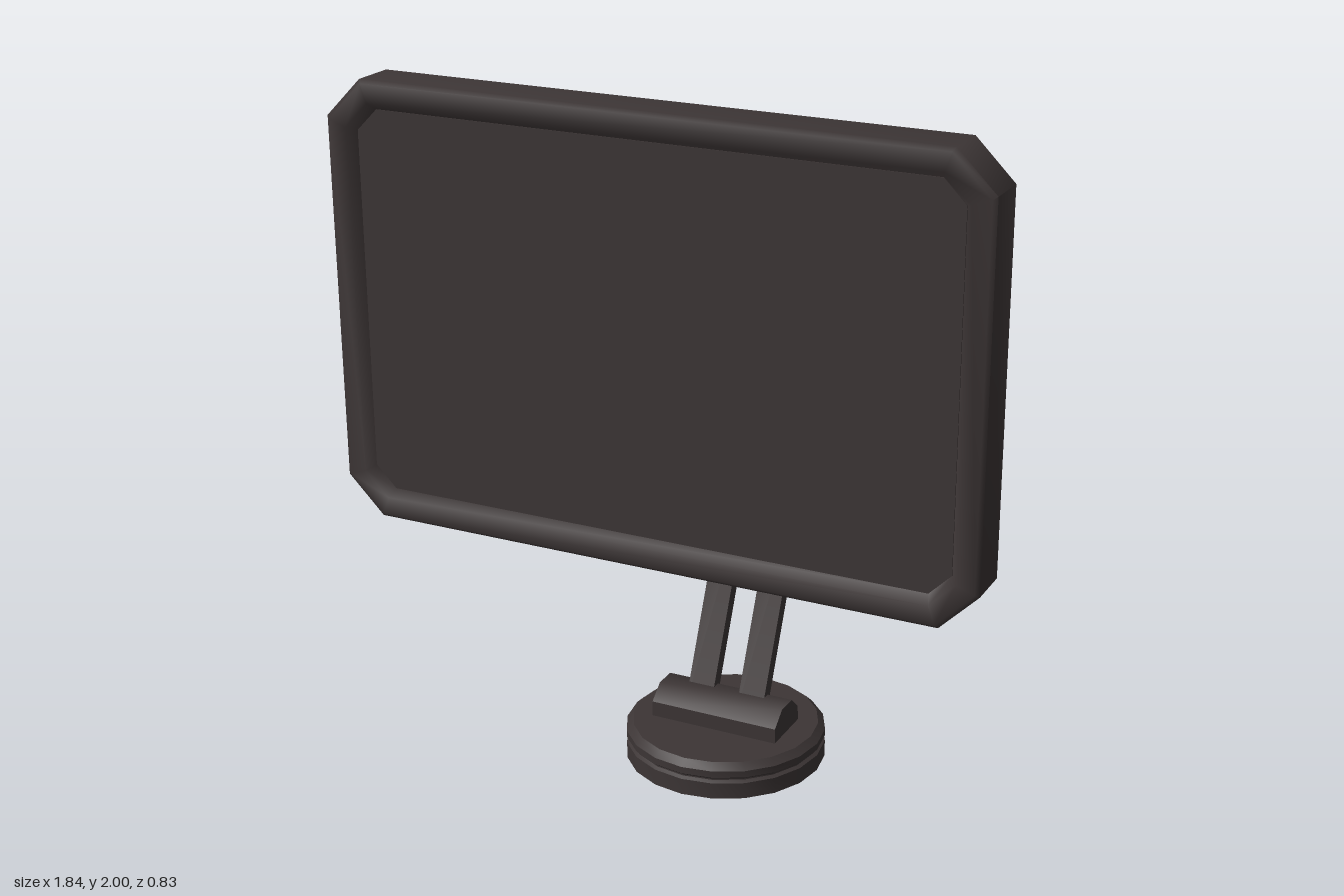
import * as THREE from 'three';
import { toCreasedNormals } from 'three/addons/utils/BufferGeometryUtils.js';

const darkPlastic = new THREE.MeshStandardMaterial({ color: 0x3c3535 });
darkPlastic.name = 'darkPlastic';

// Rectangle with cut corners, counter-clockwise seen from +z
function cutRect(w, y0, y1, c, z) {
  if (!c) return [[-w, y0, z], [w, y0, z], [w, y1, z], [-w, y1, z]];
  return [
    [-w + c, y0, z], [w - c, y0, z], [w, y0 + c, z], [w, y1 - c, z],
    [w - c, y1, z], [-w + c, y1, z], [-w, y1 - c, z], [-w, y0 + c, z],
  ];
}

// Joins loops in order; both ends are capped
function loft(loops, crease) {
  const n = loops[0].length, index = [];
  for (let k = 0; k < loops.length - 1; k++) {
    for (let i = 0; i < n; i++) {
      const a = k * n + i, b = k * n + (i + 1) % n;
      index.push(a, b, b + n, a, b + n, a + n);
    }
  }
  const last = (loops.length - 1) * n;
  for (let i = 1; i < n - 1; i++) {
    index.push(0, i + 1, i, last, last + i, last + i + 1);
  }
  const geo = new THREE.BufferGeometry();
  geo.setAttribute('position', new THREE.Float32BufferAttribute(loops.flat(2), 3));
  geo.setIndex(index);
  return toCreasedNormals(geo, crease);
}

// Side outline of [z, y] points, given a width and centred on x
function sidePart(points, x, width) {
  const shape = new THREE.Shape(points.map(([z, y]) => new THREE.Vector2(z, y)));
  const geo = new THREE.ExtrudeGeometry(shape, { depth: width, bevelEnabled: false });
  geo.translate(0, 0, -width / 2).rotateY(-Math.PI / 2).translate(x, 0, 0);
  return toCreasedNormals(geo, 0.8);
}

export function createModel() {
  const group = new THREE.Group();
  const add = (name, geo) => {
    const mesh = new THREE.Mesh(geo, darkPlastic);
    mesh.name = name;
    group.add(mesh);
  };

  // Display case with a softly sunken screen
  add('displayCase', loft([
    cutRect(0.92, 0.78, 2.0, 0.105, 0.28),
    cutRect(0.92, 0.78, 2.0, 0.105, 0.405),
    cutRect(0.91, 0.79, 1.99, 0.102, 0.415),
    cutRect(0.86, 0.84, 1.94, 0.07, 0.415),
    cutRect(0.84, 0.86, 1.92, 0.06, 0.385),
  ], 1.1));
  add('screen', loft([
    cutRect(0.84, 0.86, 1.92, 0.06, 0.383),
    cutRect(0.84, 0.86, 1.92, 0.06, 0.388),
  ], 0.5));

  // Tapered back cover and mounting plate
  add('backCover', loft([
    cutRect(0.68, 0.94, 1.76, 0, 0.19),
    cutRect(0.725, 0.89, 1.81, 0, 0.285),
  ], 1.2));
  add('mountPlate', loft([
    cutRect(0.235, 1.26, 1.49, 0, 0.168),
    cutRect(0.245, 1.25, 1.5, 0, 0.195),
  ], 0.5));

  // Slotted head joint
  const head = [[0.175, 1.28], [0.175, 1.475], [0.03, 1.475], [-0.01, 1.455],
    [-0.037, 1.4], [-0.022, 1.32], [0.01, 1.29], [0.05, 1.28]];
  const elbow = [[-0.22, 0.795], [-0.22, 0.868], [-0.29, 0.94], [-0.377, 0.897],
    [-0.414, 0.85], [-0.37, 0.755], [-0.31, 0.742]];
  const lowerArm = [[-0.06, 0.12], [-0.34, 0.77], [-0.36, 0.86], [-0.414, 0.85], [-0.115, 0.15], [-0.105, 0.12]];
  for (const [side, s] of [['left', 1], ['right', -1]]) {
    add(side + 'HeadCheek', sidePart(head, s * 0.08, 0.08));
    add(side + 'ElbowCheek', sidePart(elbow, s * 0.08, 0.08));
    add(side + 'LowerArm', sidePart(lowerArm, s * 0.08, 0.08));
  }
  add('headCore', sidePart([[0.175, 1.29], [0.175, 1.465], [0.09, 1.465], [0.09, 1.29]], 0, 0.08));

  // Single upper arm between the cheeks
  add('upperArm', sidePart([
    [-0.02, 1.295], [0.03, 1.31], [0.06, 1.36], [0.045, 1.42], [0.005, 1.435], [-0.037, 1.395],
    [-0.377, 0.897], [-0.41, 0.845], [-0.37, 0.765], [-0.31, 0.744], [-0.25, 0.8], [-0.29, 0.94],
  ], 0, 0.08));

  // Foot hinge and round base, hollow underneath
  add('footHinge', sidePart([[0, 0.09], [0, 0.15], [-0.048, 0.19], [-0.115, 0.19],
    [-0.158, 0.15], [-0.167, 0.09]], 0, 0.39));
  const profile = [[0, 0.045], [0.26, 0.04], [0.275, 0], [0.29, 0], [0.29, 0.048], [0.28, 0.054],
    [0.28, 0.058], [0.29, 0.066], [0.29, 0.086], [0.27, 0.105], [0, 0.105]];
  const base = new THREE.LatheGeometry(profile.map(([r, y]) => new THREE.Vector2(r, y)), 20);
  base.translate(0, 0, -0.085);
  add('base', toCreasedNormals(base, 0.7));

  return group;
}
